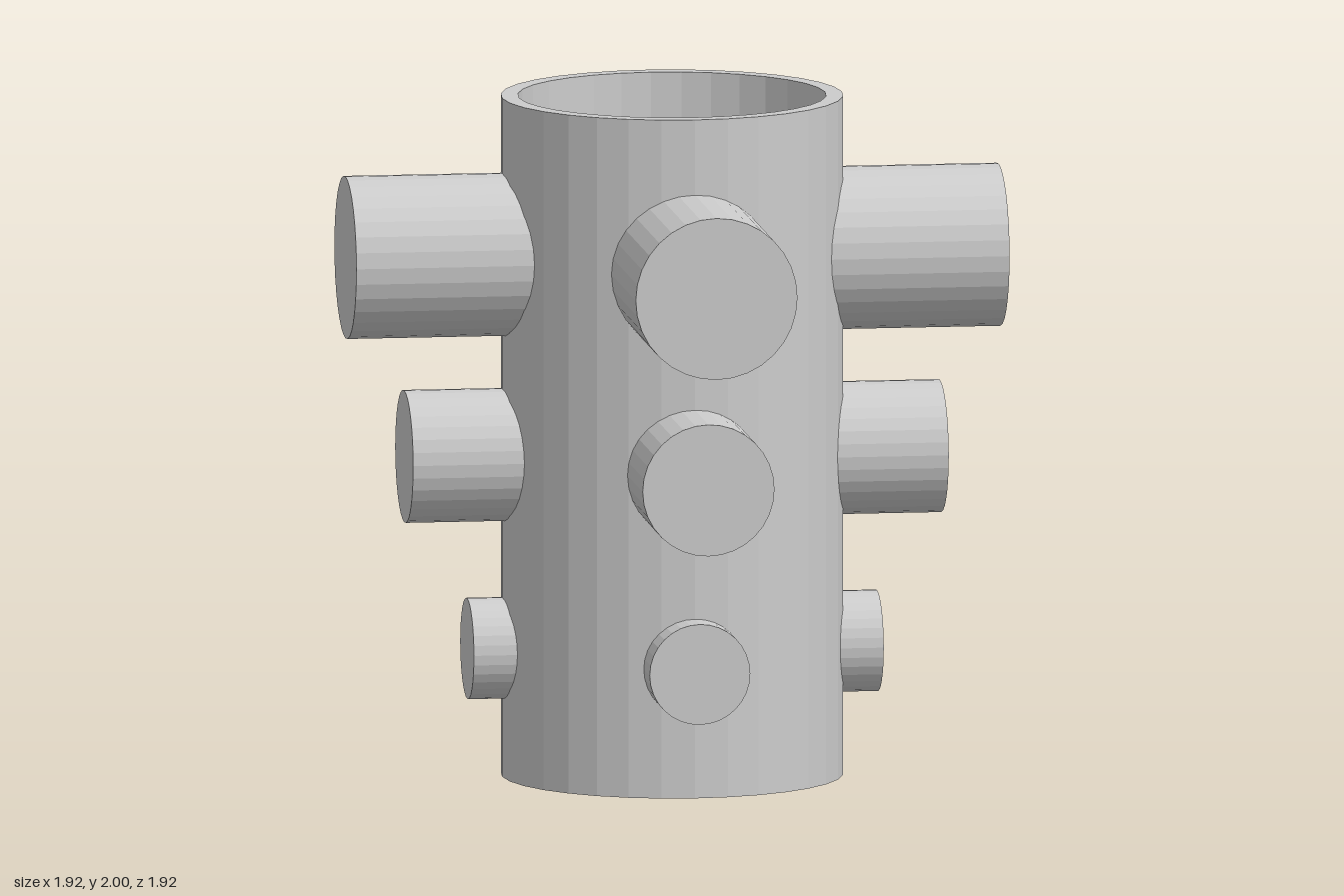
import * as THREE from 'three';

const SIDES = 32;

export function createModel() {
  const model = new THREE.Group();
  const material = new THREE.MeshStandardMaterial({ color: 0xcccccc, flatShading: true });

  // Hollow upright tube, open at both ends
  const profile = [[0.5, 0], [0.5, 2], [0.45, 2], [0.45, 0], [0.5, 0]]
    .map(([r, y]) => new THREE.Vector2(r, y));
  const tube = new THREE.Mesh(new THREE.LatheGeometry(profile, SIDES), material);
  tube.name = 'tube';
  model.add(tube);

  // Three tiers of crossed round bars that run right through the tube
  const tiers = [
    { name: 'lower', y: 0.38, radius: 0.148, length: 1.206 },
    { name: 'middle', y: 0.95, radius: 0.194, length: 1.576 },
    { name: 'upper', y: 1.54, radius: 0.238, length: 1.922 },
  ];
  for (const { name, y, radius, length } of tiers) {
    const geometry = new THREE.CylinderGeometry(radius, radius, length, SIDES);
    const sideBar = new THREE.Mesh(geometry, material);
    sideBar.name = `${name}SideBar`;
    sideBar.rotation.z = Math.PI / 2;
    sideBar.position.y = y;

    const frontBar = new THREE.Mesh(geometry, material);
    frontBar.name = `${name}FrontBar`;
    frontBar.rotation.x = Math.PI / 2;
    frontBar.position.y = y;

    model.add(sideBar, frontBar);
  }
  return model;
}
